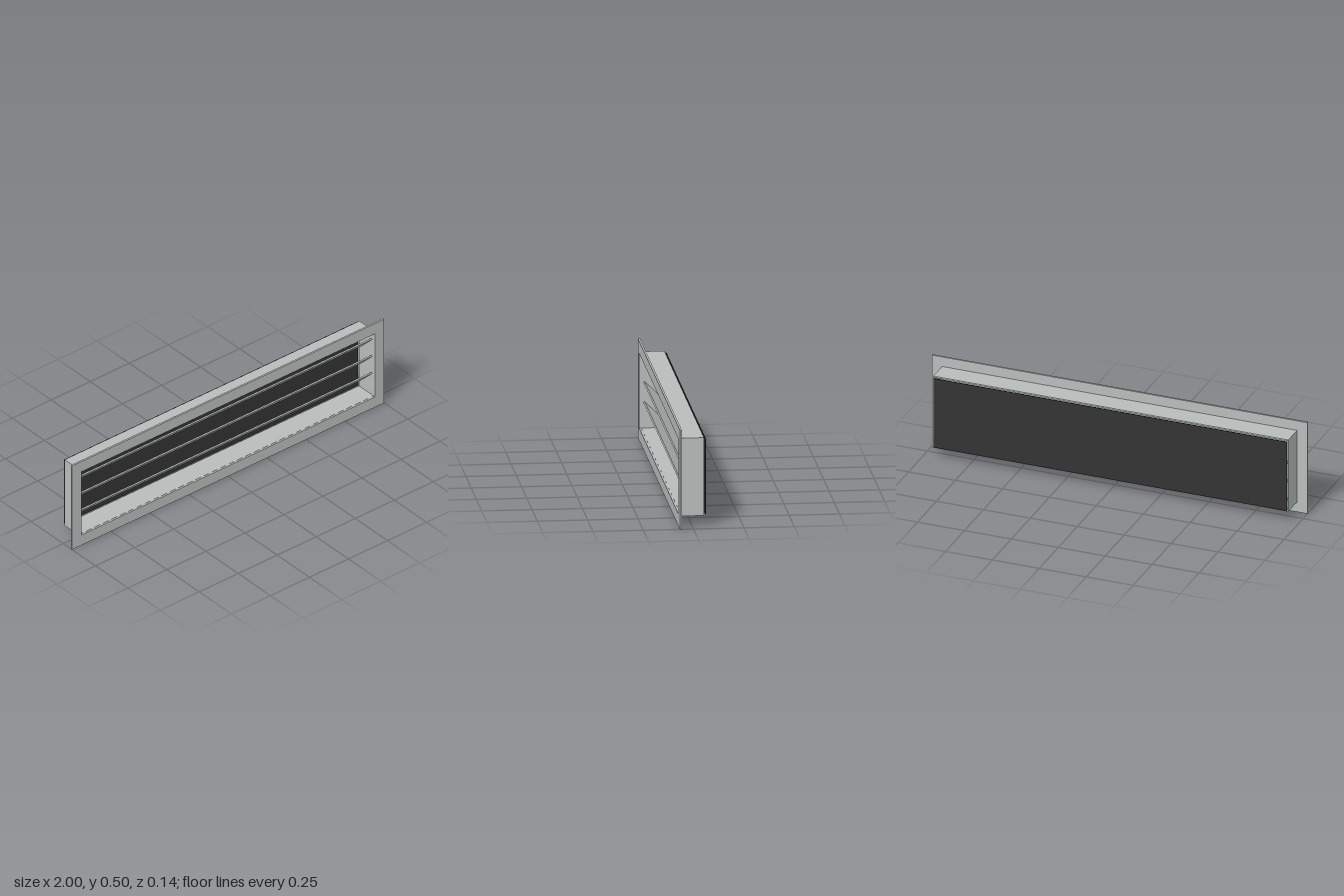
import * as THREE from 'three';

const MID_Y = 0.252; // height of the grille's centre line

// Rectangular ring, extruded along +z from z0
function ring(outerW, outerH, innerW, innerH, z0, depth) {
  const rect = (target, w, h) => {
    target.moveTo(-w / 2, -h / 2);
    target.lineTo(w / 2, -h / 2);
    target.lineTo(w / 2, h / 2);
    target.lineTo(-w / 2, h / 2);
    target.closePath();
    return target;
  };
  const shape = rect(new THREE.Shape(), outerW, outerH);
  shape.holes.push(rect(new THREE.Path(), innerW, innerH));
  const geometry = new THREE.ExtrudeGeometry(shape, { depth, bevelEnabled: false });
  geometry.translate(0, 0, z0);
  return geometry;
}

export function createModel() {
  const group = new THREE.Group();
  group.name = 'ventGrille';

  const metal = new THREE.MeshStandardMaterial({ color: 0xb8bdbc });
  metal.name = 'light grey metal';
  const dark = new THREE.MeshStandardMaterial({ color: 0x333333 });
  dark.name = 'dark backing';

  const add = (name, geometry, material, y = MID_Y, z = 0) => {
    const mesh = new THREE.Mesh(geometry, material);
    mesh.name = name;
    mesh.position.set(0, y, z);
    group.add(mesh);
    return mesh;
  };

  // Flat front flange and the duct collar behind it
  add('frontFrame', ring(2, 0.502, 1.882, 0.379, 0.058, 0.01), metal, 0.251);
  add('collar', ring(1.89, 0.395, 1.882, 0.379, -0.057, 0.115), metal);

  // Three slanted blades, front edge raised
  const blade = new THREE.BoxGeometry(1.882, 0.008, 0.126);
  for (let i = -1; i <= 1; i++) {
    add('louverBlade', blade, metal, MID_Y + i * 0.102).rotation.x = -Math.PI / 4;
  }

  // Dark plate closing the back, with a small gap to the collar
  add('backPlate', new THREE.BoxGeometry(1.882, 0.38, 0.005), dark, MID_Y, -0.065);

  return group;
}
